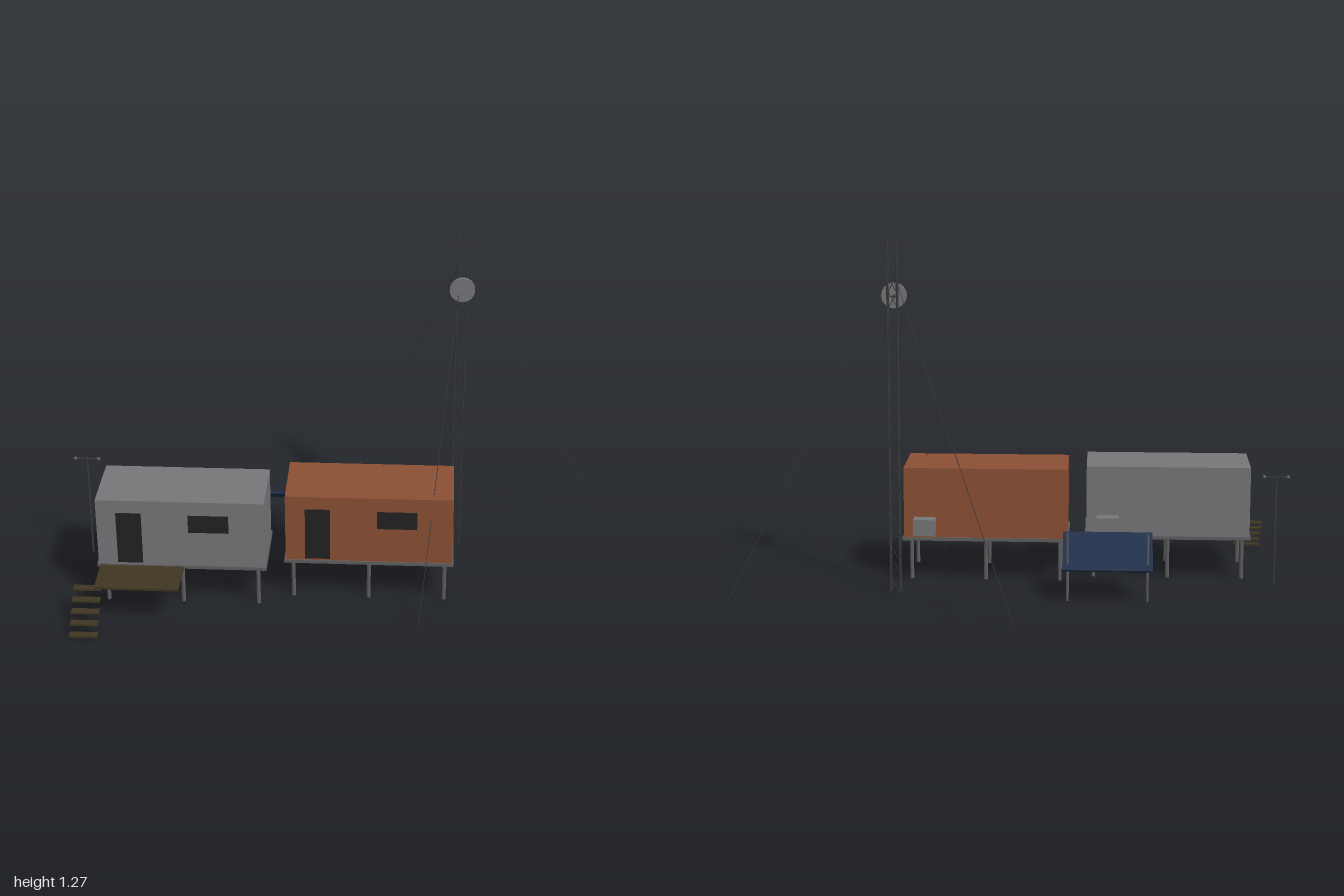
import * as THREE from 'three';

const mat = (name, color) => Object.assign(new THREE.MeshStandardMaterial({ color }), { name });

export function createModel() {
  const model = new THREE.Group();
  model.name = 'fieldStation';

  const grey = mat('wall grey', 0x77777a);
  const rust = mat('rust orange', 0x8b5034);
  const black = mat('opening black', 0x222222);
  const steel = mat('steel grey', 0x5e5e60);
  const timber = mat('dark timber', 0x3f3522);
  const navy = mat('panel navy', 0x22304a);
  const dark = mat('mast dark', 0x3a3a3a);

  const add = (parent, name, geometry, material, x = 0, y = 0, z = 0) => {
    const mesh = new THREE.Mesh(geometry, material);
    mesh.name = name;
    mesh.position.set(x, y, z);
    parent.add(mesh);
    return mesh;
  };
  const box = (parent, name, material, w, h, d, x, y, z) =>
    add(parent, name, new THREE.BoxGeometry(w, h, d), material, x, y, z);
  // Round bar between two points
  const bar = (parent, name, material, a, b, r, sides = 8) => {
    const from = new THREE.Vector3(...a), to = new THREE.Vector3(...b);
    const dir = to.clone().sub(from);
    const mesh = add(parent, name, new THREE.CylinderGeometry(r, r, dir.length(), sides), material);
    mesh.position.copy(from).add(to).multiplyScalar(0.5);
    mesh.quaternion.setFromUnitVectors(new THREE.Vector3(0, 1, 0), dir.normalize());
    return mesh;
  };
  const group = (name, x = 0, y = 0, z = 0) => {
    const g = new THREE.Group();
    g.name = name;
    g.position.set(x, y, z);
    model.add(g);
    return g;
  };

  // Two cabins on stilts
  const cabin = (name, wall, x, z) => {
    const g = group(name, x, 0, z);
    box(g, 'floorFrame', steel, 0.61, 0.012, 0.264, 0, 0.154, 0);
    box(g, 'walls', wall, 0.6, 0.262, 0.254, 0, 0.289, 0);
    box(g, 'door', black, 0.09, 0.202, 0.006, -0.184, 0.269, 0.128);
    box(g, 'window', black, 0.144, 0.068, 0.006, 0.1, 0.332, 0.128);
    box(g, 'airUnit', grey, 0.08, 0.06, 0.05, 0.222, 0.207, -0.152);
    for (const lx of [-0.273, 0, 0.273])
      for (const lz of [-0.112, 0.112])
        bar(g, 'stilt', steel, [lx, 0, lz], [lx, 0.15, lz], 0.0075, 10);
  };
  cabin('greyCabin', grey, -0.565, 0.196);
  cabin('rustCabin', rust, 0.104, 0.137);

  // Entrance deck and steps
  const entrance = group('entrance');
  box(entrance, 'deck', timber, 0.3, 0.008, 0.156, -0.708, 0.152, 0.402);
  for (let i = 0; i < 5; i++)
    box(entrance, 'step', timber, 0.1, 0.006, 0.03, -0.891, 0.004 + i * 0.0297, 0.553 - i * 0.03);

  // Tilted solar panel on four posts
  const solar = group('solarArray', -0.344, 0, -0.188);
  const panel = box(solar, 'panel', navy, 0.32, 0.007, 0.18, 0, 0.168, 0);
  panel.rotation.x = -0.6;
  for (const x of [-0.142, 0.142]) {
    bar(solar, 'rearPost', steel, [x, 0, -0.05], [x, 0.246, -0.05], 0.004);
    bar(solar, 'frontPost', steel, [x, 0, 0.043], [x, 0.165, 0.043], 0.004);
  }

  // Weather pole with a crossarm and end cups
  const weather = group('weatherPole', -0.95, 0, -0.006);
  bar(weather, 'pole', dark, [0, 0, 0], [0, 0.41, 0], 0.004);
  bar(weather, 'crossarm', dark, [-0.045, 0.405, 0], [0.045, 0.405, 0], 0.003);
  for (const x of [-0.043, 0.043])
    add(weather, 'cup', new THREE.SphereGeometry(0.007, 10, 8), steel, x, 0.405, 0);

  // Lattice mast: four legs with zigzag bracing, mirrored on opposite faces
  const mast = group('mast', 0.417, 0, -0.158);
  const h = 0.017, bays = 21, top = 1.27, step = top / bays;
  const corners = [[-h, -h], [h, -h], [h, h], [-h, h]];
  corners.forEach(([x, z], i) => {
    const [nx, nz] = corners[(i + 1) % 4];
    bar(mast, 'mastLeg', dark, [x, 0, z], [x, top, z], 0.0028, 6);
    for (let k = 0; k < bays; k++) {
      const up = k % 2 === 0;
      const [a, b] = up ? [[x, z], [nx, nz]] : [[nx, nz], [x, z]];
      bar(mast, 'brace', dark, [a[0], k * step, a[1]], [b[0], (k + 1) * step, b[1]], 0.0014, 5);
    }
    bar(mast, 'topRail', dark, [x, top - 0.002, z], [nx, top - 0.002, nz], 0.0014, 5);
  });

  // Dish on a short bracket
  const dish = add(mast, 'dish', new THREE.CylinderGeometry(0.045, 0.045, 0.013, 28), grey, 0, 1.07, 0.052);
  dish.rotation.x = Math.PI / 2;
  bar(mast, 'dishBracket', dark, [0, 1.07, h], [0, 1.07, 0.047], 0.004);
  bar(mast, 'dishCrossbar', dark, [-h, 1.07, h], [h, 1.07, h], 0.002);

  // Guy wires
  for (const [x, z] of [[-0.03, -0.57], [0.999, -0.34], [0.288, 0.435]])
    bar(model, 'guyWire', dark, [0.417, 1.17, -0.158], [x, 0.001, z], 0.0013, 5);

  return model;
}
